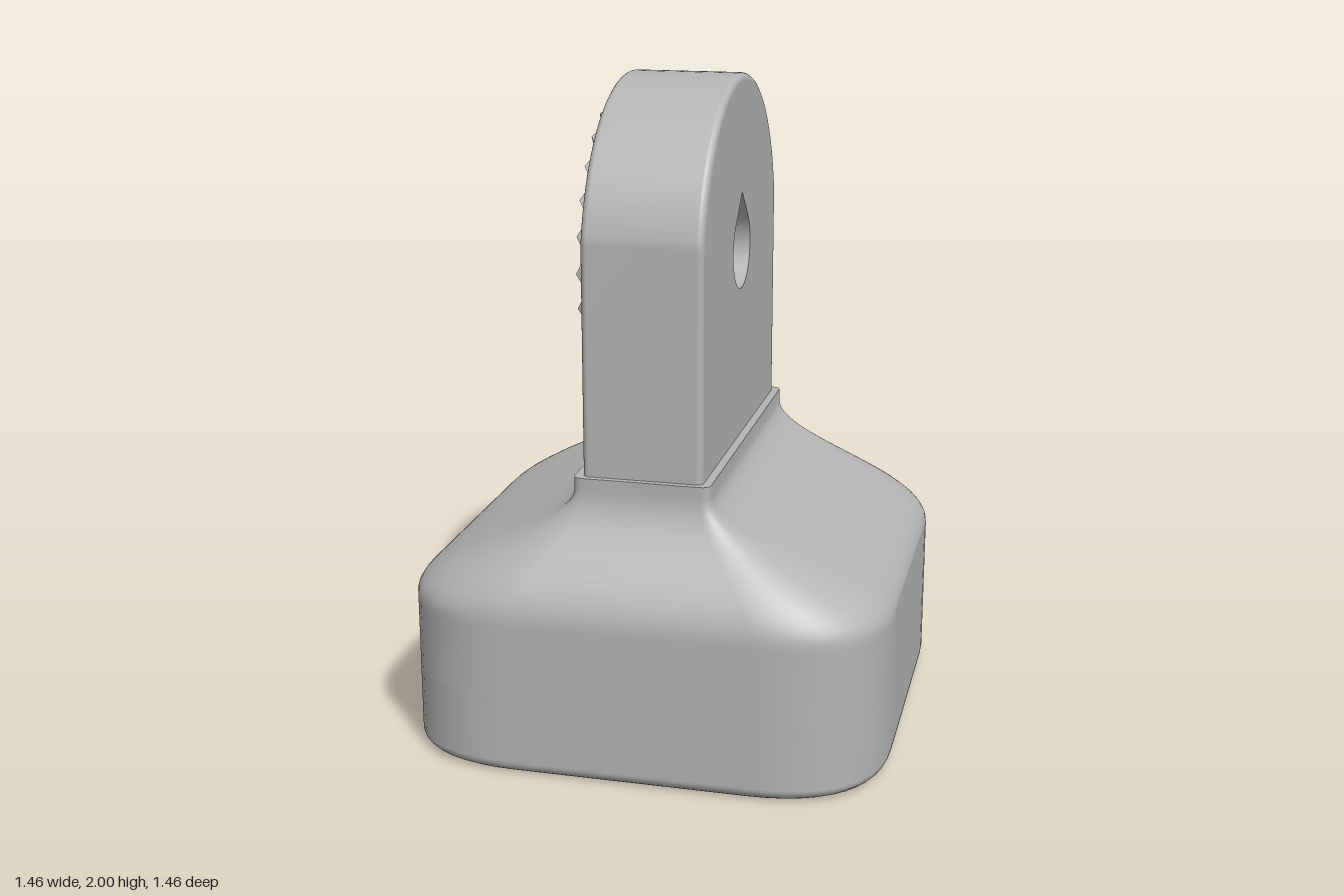
import * as THREE from 'three';
import { toCreasedNormals } from 'three/addons/utils/BufferGeometryUtils.js';

const grey = new THREE.MeshStandardMaterial({ color: 0xb4b4b4, side: THREE.DoubleSide });
grey.name = 'grey';

function mesh(name, geometry, parent) {
  const m = new THREE.Mesh(geometry, grey);
  m.name = name;
  parent.add(m);
  return m;
}

// Skin over rows of [x, y, z] points that all have the same length
function loft(rows) {
  const n = rows[0].length, index = [];
  for (let i = 0; i < rows.length - 1; i++) {
    for (let j = 0; j < n - 1; j++) {
      const a = i * n + j, b = a + 1, c = b + n, d = a + n;
      index.push(a, b, c, a, c, d);
    }
  }
  const g = new THREE.BufferGeometry();
  g.setAttribute('position', new THREE.Float32BufferAttribute(rows.flat(2), 3));
  g.setIndex(index);
  g.computeVertexNormals();
  return g;
}

const v2 = (a, b) => new THREE.Vector2(a, b);

// Flat face at height y, given as x/z points with round holes [x, z, r]
function slab(points, holes, y) {
  const s = new THREE.Shape(points);
  for (const [x, z, r] of holes) s.holes.push(new THREE.Path().absarc(x, z, r, 0, Math.PI * 2, true));
  return new THREE.ShapeGeometry(s, 24).rotateX(Math.PI / 2).translate(0, y, 0);
}

// ---- Base: rounded block sweeping up to a narrow neck ----
const NECK = 0.88, FLOOR = 0.244, RIDGE = 0.667, SLOT = 0.21, SLOT_END = 0.25;
const blend = (y) => THREE.MathUtils.smoothstep(y, 0.48, 0.84);
const halfZ = (y) => 0.73 - 0.18 * blend(y);
const slotHalf = (y) => Math.max(0, Math.min(SLOT, RIDGE - y));

// Cross-section starting and ending at the back, leaving a gap of half-width g
function ring(y, inset, g) {
  const t = blend(y), hx = 0.73 - 0.525 * t - inset, hz = halfZ(y) - inset, e = 0.36 - 0.33 * t;
  const pts = [[-g, y, -hz]];
  [[-1, -1], [-1, 1], [1, 1], [1, -1]].forEach(([sx, sz], k) => {
    const onX = [sx * (hx - e), sz * hz], onZ = [sx * hx, sz * (hz - e)];
    const [a, b] = k % 2 ? [onZ, onX] : [onX, onZ];
    for (let i = 0; i <= 12; i++) {
      const u = i / 12, p = (1 - u) ** 2, q = 2 * u * (1 - u), r = u * u;
      pts.push([a[0] * p + sx * hx * q + b[0] * r, y, a[1] * p + sz * hz * q + b[1] * r]);
    }
  });
  pts.push([g, y, -hz]);
  return pts;
}

function buildBase(parent) {
  const base = new THREE.Group();
  base.name = 'base';
  parent.add(base);

  // Rounded bottom edge, then wall and shoulder
  const rows = [];
  for (let k = 0; k <= 6; k++) {
    const a = (k / 6) * Math.PI / 2;
    rows.push(ring(0.04 * (1 - Math.cos(a)), 0.04 * (1 - Math.sin(a)), 0));
  }
  rows.push(ring(FLOOR, 0, 0));
  const slotYs = [FLOOR, RIDGE - SLOT, 0.48];
  for (let y = 0.5; y < RIDGE; y += 0.02) slotYs.push(y);
  slotYs.push(RIDGE);
  for (const y of slotYs) rows.push(ring(y, 0, slotHalf(y)));
  for (let y = 0.68; y < 0.85; y += 0.02) rows.push(ring(y, 0, 0));
  rows.push(ring(NECK, 0, 0));
  mesh('baseShell', loft(rows), base);

  const flat = (row) => row.slice(1, -1).map(([x, , z]) => v2(x, z));
  mesh('neckLedge', slab(flat(rows[rows.length - 1]), [], NECK), base);

  // Underside with one central and four corner holes
  const holes = [[0, 0, 0.13]];
  for (const x of [-0.37, 0.37]) for (const z of [-0.37, 0.37]) holes.push([x, z, 0.09]);
  mesh('underside', slab(flat(rows[0]), holes, 0), base);
  holes.forEach(([x, z, r], i) => {
    const profile = [v2(r, 0), v2(r - 0.018, 0.02), v2(r - 0.018, i ? 0.2 : FLOOR)];
    if (i) profile.push(v2(0, 0.2));
    const g = toCreasedNormals(new THREE.LatheGeometry(profile, 32), 0.5);
    mesh(i ? 'cornerHole' : 'centreHole', g, base).position.set(x, 0, z);
  });

  // House-shaped slot running in from the back
  for (const s of [-1, 1]) {
    const wall = slotYs.map((y) => [[s * slotHalf(y), y, -halfZ(y)], [s * slotHalf(y), y, SLOT_END]]);
    mesh('slotWall', toCreasedNormals(loft(wall), 0.5), base);
  }
  const floor = [v2(-SLOT, -0.73), v2(SLOT, -0.73), v2(SLOT, SLOT_END), v2(-SLOT, SLOT_END)];
  mesh('slotFloor', slab(floor, [[0, 0, 0.112]], FLOOR), base);
  const end = new THREE.Shape([
    v2(-SLOT, FLOOR), v2(SLOT, FLOOR), v2(SLOT, RIDGE - SLOT), v2(0, RIDGE), v2(-SLOT, RIDGE - SLOT),
  ]);
  mesh('slotEnd', new THREE.ShapeGeometry(end).translate(0, 0, SLOT_END), base);
}

// ---- Upright lug with a teardrop hole ----
const HALF = 0.18, EDGE = 0.02, HUB_Y = 1.47;

// Lug outline as [z, y] points, drawn in by d
function lugOutline(d) {
  const w = 0.53 - d, cy = 1.46, r = 0.54 - d, a0 = Math.acos(w / r), pts = [[w, NECK - 0.01]];
  for (let i = 0; i <= 48; i++) {
    const a = a0 + (i / 48) * (Math.PI - 2 * a0);
    pts.push([r * Math.cos(a), cy + r * Math.sin(a)]);
  }
  pts.push([-w, NECK - 0.01]);
  return pts;
}

function buildLug(parent) {
  const lug = new THREE.Group();
  lug.name = 'lug';
  parent.add(lug);

  // Rim with softly rounded edges on both sides
  const sections = [];
  for (const s of [-1, 1]) {
    for (let k = 0; k <= 5; k++) {
      const a = ((s < 0 ? k : 5 - k) / 5) * Math.PI / 2;
      sections.push([s * (HALF - EDGE * (1 - Math.cos(a))), EDGE * (1 - Math.sin(a))]);
    }
  }
  mesh('lugRim', loft(sections.map(([x, d]) => lugOutline(d).map(([z, y]) => [x, y, z]))), lug);

  // Teardrop hole through the lug
  const drop = [];
  for (let i = 0; i <= 36; i++) {
    const a = Math.PI * (0.75 + 1.5 * i / 36);
    drop.push([0.123 * Math.cos(a), HUB_Y + 0.123 * Math.sin(a)]);
  }
  drop.push([0, HUB_Y + 0.123 * Math.SQRT2]);
  const loop = [...drop, drop[0]];
  const tube = loft([HALF, -HALF].map((x) => loop.map(([z, y]) => [x, y, z])));
  mesh('lugHole', toCreasedNormals(tube, 0.6), lug);

  // Side faces
  const face = new THREE.Shape(lugOutline(EDGE).map((p) => v2(...p)));
  face.holes.push(new THREE.Path(drop.map((p) => v2(...p))));
  for (const s of [-1, 1]) {
    mesh('lugSide', new THREE.ShapeGeometry(face).rotateY(s * Math.PI / 2).translate(s * HALF, 0, 0), lug);
  }
}

// ---- Ring of radial locking teeth on one side of the lug ----
function buildTeeth(parent) {
  const teeth = new THREE.Group();
  teeth.name = 'lockingTeeth';
  teeth.position.set(-HALF, HUB_Y, 0);
  parent.add(teeth);
  // Triangular wedge, widening outward
  const section = (r, w) => [[0, r, -w], [-0.027, r, 0], [0, r, w]];
  const inner = section(0.18, 0.019), outer = section(0.472, 0.047);
  const middle = (r) => [[0, r, 0], [0, r, 0], [0, r, 0]];
  const tooth = toCreasedNormals(loft([middle(0.18), inner, outer, middle(0.472)]), 0.1);
  const count = 28;
  for (let i = 0; i < count; i++) mesh('tooth', tooth, teeth).rotation.x = (i / count) * Math.PI * 2;
}

export function createModel() {
  const model = new THREE.Group();
  model.name = 'mountingFoot';
  buildBase(model);
  buildLug(model);
  buildTeeth(model);
  return model;
}
